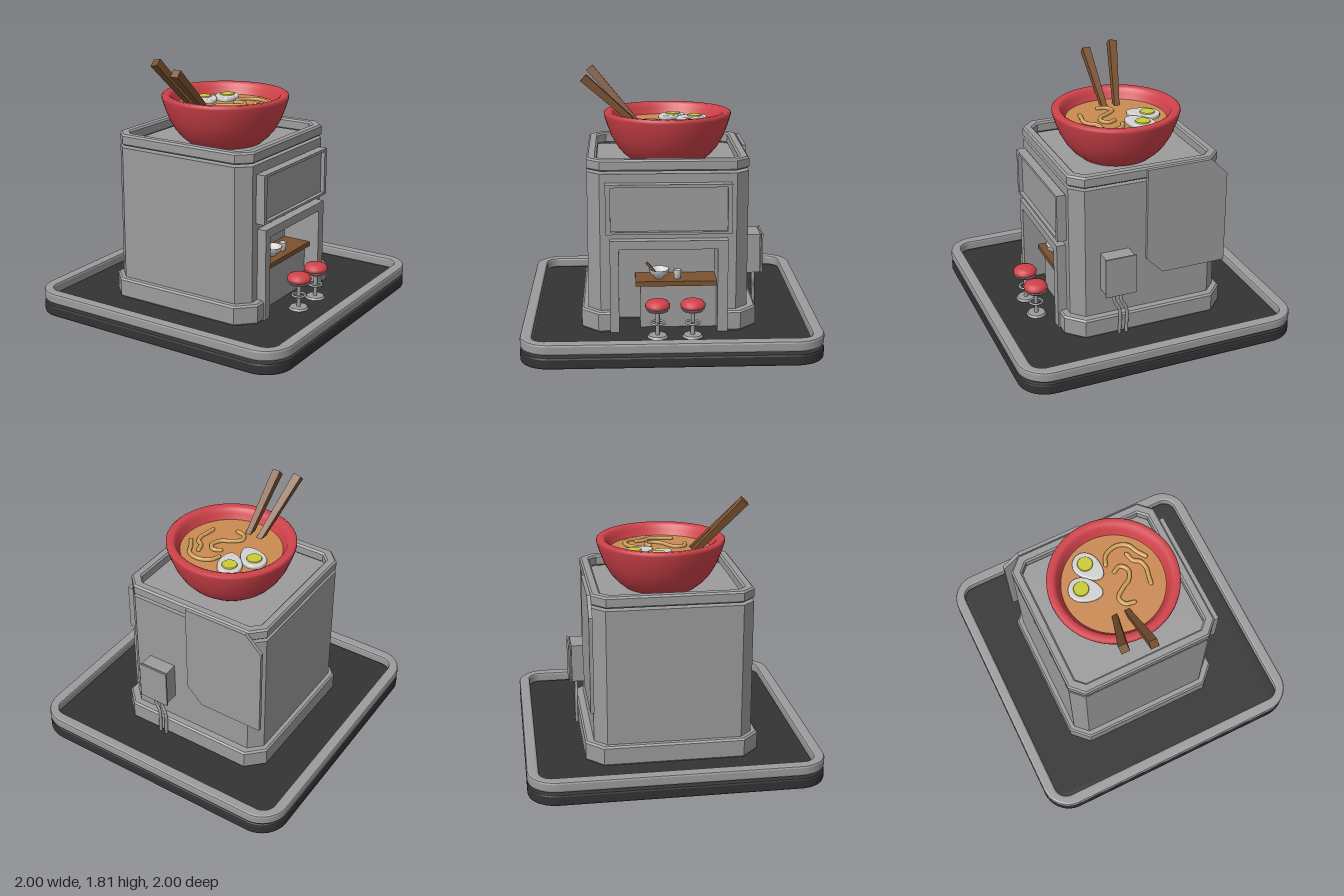
import * as THREE from 'three';

const mat = (name, color, side = THREE.FrontSide) => {
  const m = new THREE.MeshStandardMaterial({ color, side });
  m.name = name;
  return m;
};

export function createModel() {
  const grey = mat('concrete grey', 0x9c9c9c);
  const dark = mat('asphalt', 0x333333);
  const red = mat('red lacquer', 0xd0424a, THREE.DoubleSide);
  const wood = mat('wood', 0x7a5230);
  const broth = mat('broth', 0xcb8a52);
  const dough = mat('noodle', 0xd0a05c);
  const white = mat('egg white', 0xd2d2d2, THREE.DoubleSide);
  const yellow = mat('yolk', 0xcccc33);

  const root = new THREE.Group();
  root.name = 'noodleStand';
  const V = (x, y, z) => new THREE.Vector3(x, y, z);
  const add = (name, geo, m, x = 0, y = 0, z = 0, parent = root) => {
    const mesh = new THREE.Mesh(geo, m);
    mesh.name = name;
    mesh.position.set(x, y, z);
    parent.add(mesh);
    return mesh;
  };
  // Box given by its limits
  const box = (name, m, x0, x1, y0, y1, z0, z1) =>
    add(name, new THREE.BoxGeometry(x1 - x0, y1 - y0, z1 - z0), m, (x0 + x1) / 2, (y0 + y1) / 2, (z0 + z1) / 2);
  const shapeOf = (pts) => new THREE.Shape(pts.map(([x, y]) => new THREE.Vector2(x, y)));
  // Plan outline (x, -z) raised from y0 to y1 with an edge bevel
  const slab = (name, shape, y0, y1, bevel, m, segments = 1) => {
    const geo = new THREE.ExtrudeGeometry(shape, {
      depth: y1 - y0 - 2 * bevel, bevelEnabled: bevel > 0, bevelThickness: bevel,
      bevelSize: bevel, bevelOffset: -bevel, bevelSegments: segments, curveSegments: 8,
    });
    geo.rotateX(-Math.PI / 2);
    return add(name, geo, m, 0, y0 + bevel, 0);
  };
  const roundedSquare = (h, r) => {
    const s = new THREE.Shape();
    [[1, 1], [-1, 1], [-1, -1], [1, -1]].forEach(([sx, sy], i) =>
      s.absarc(sx * (h - r), sy * (h - r), r, i * Math.PI / 2, (i + 1) * Math.PI / 2, false));
    return s;
  };
  // Rectangle with cut corners, optionally notched on +x for the doorway
  const octagon = (x0, x1, z0, z1, c, notchX) => {
    const a = -z1, b = -z0;
    const pts = [[x0 + c, a], [x1 - c, a], [x1, a + c]];
    if (notchX !== undefined) pts.push([x1, -0.35], [notchX, -0.35], [notchX, 0.315], [x1, 0.315]);
    pts.push([x1, b - c], [x1 - c, b], [x0 + c, b], [x0, b - c], [x0, a + c]);
    return shapeOf(pts);
  };

  // Ground plate and raised kerb
  slab('groundPlate', roundedSquare(1, 0.2), 0, 0.082, 0.015, dark, 2);
  const kerb = roundedSquare(1, 0.2);
  kerb.holes.push(roundedSquare(0.92, 0.09));
  slab('kerb', kerb, 0.095, 0.17, 0.015, grey, 2);

  // Building with doorway recess
  slab('foundation', octagon(-0.635, 0.548, -0.588, 0.605, 0.115, 0.28), 0.082, 0.222, 0.012, grey);
  slab('lowerWalls', octagon(-0.595, 0.495, -0.53, 0.56, 0.085, 0.28), 0.1, 0.665, 0, grey);
  slab('upperWalls', octagon(-0.595, 0.495, -0.53, 0.56, 0.085), 0.665, 1.17, 0, grey);
  const parapet = octagon(-0.597, 0.5, -0.532, 0.562, 0.09);
  parapet.holes.push(octagon(-0.53, 0.433, -0.465, 0.495, 0.055));
  slab('roofParapet', parapet, 1.185, 1.265, 0.012, grey);

  // Picture-frame shaped border standing on the +x wall
  const sideFrame = (name, outer, inner, x0, x1) => {
    const s = shapeOf(outer);
    if (inner) s.holes.push(shapeOf(inner));
    const geo = new THREE.ExtrudeGeometry(s, { depth: x1 - x0, bevelEnabled: false });
    geo.rotateY(Math.PI / 2);
    return add(name, geo, grey, x0, 0, 0);
  };
  // Outline coordinates are (-z, y)
  const rect = (z0, z1, y0, y1) => [[-z1, y0], [-z0, y0], [-z0, y1], [-z1, y1]];
  box('signPanel', grey, 0.49, 0.535, 0.775, 1.105, -0.405, 0.43);
  sideFrame('signFrame', rect(-0.41, 0.437, 0.77, 1.11), rect(-0.38, 0.403, 0.787, 1.09), 0.5, 0.563);
  sideFrame('doorFrame', [[-0.41, 0.085], [-0.35, 0.085], [-0.35, 0.665], [0.315, 0.665],
    [0.315, 0.085], [0.385, 0.085], [0.385, 0.725], [-0.41, 0.725]], null, 0.49, 0.56);

  // Counter with tableware
  box('counterBase', grey, 0.28, 0.45, 0.082, 0.386, -0.315, 0.205);
  box('counterTop', wood, 0.28, 0.49, 0.386, 0.42, -0.314, 0.237);
  const dish = [[0, 0], [0.03, 0], [0.032, 0.01], [0.058, 0.03], [0.072, 0.065], [0.067, 0.065], [0.05, 0.035], [0, 0.018]];
  add('smallBowl', new THREE.LatheGeometry(dish.map(p => new THREE.Vector2(...p)), 24), white, 0.41, 0.422, 0.075);
  const cup = [[0, 0], [0.022, 0], [0.028, 0.06], [0.024, 0.06], [0.02, 0.01], [0, 0.01]];
  add('cup', new THREE.LatheGeometry(cup.map(p => new THREE.Vector2(...p)), 20), white, 0.42, 0.422, -0.05);

  // Stools
  const seat = [[0, 0], [0.075, 0], [0.084, 0.012], [0.083, 0.028], [0.07, 0.045], [0.045, 0.055], [0, 0.057]];
  for (const z of [0.093, -0.143]) {
    const stool = new THREE.Group();
    stool.name = 'stool';
    stool.position.set(0.64, 0, z);
    root.add(stool);
    add('seat', new THREE.LatheGeometry(seat.map(p => new THREE.Vector2(...p)), 24), red, 0, 0.284, 0, stool);
    add('seatPlate', new THREE.CylinderGeometry(0.08, 0.07, 0.014, 24), grey, 0, 0.273, 0, stool);
    add('post', new THREE.CylinderGeometry(0.014, 0.014, 0.19, 12), grey, 0, 0.178, 0, stool);
    const ring = new THREE.TorusGeometry(0.045, 0.008, 8, 24).rotateX(Math.PI / 2);
    add('footRing', ring, grey, 0, 0.18, 0, stool);
    add('footRingSpoke', new THREE.BoxGeometry(0.09, 0.01, 0.01), grey, 0, 0.18, 0, stool);
    add('foot', new THREE.CylinderGeometry(0.06, 0.07, 0.014, 24), grey, 0, 0.089, 0, stool);
  }

  // Rear billboard with two cut corners
  const board = shapeOf([[-0.62, 0.47], [-0.15, 0.47], [-0.03, 0.59], [-0.03, 1.257], [-0.5, 1.257], [-0.62, 1.137]]);
  add('rearBoard', new THREE.ExtrudeGeometry(board, { depth: 0.025, bevelEnabled: false }), grey, 0, 0, -0.558);

  // Meter box and conduits
  box('meterBox', grey, 0.095, 0.302, 0.418, 0.692, -0.63, -0.53);
  box('meterBoxLid', grey, 0.085, 0.31, 0.41, 0.697, -0.65, -0.638);
  box('meterBoxHinge', grey, 0.12, 0.28, 0.45, 0.66, -0.64, -0.625);
  for (const x of [0.175, 0.225]) {
    const path = new THREE.CatmullRomCurve3([V(x, 0.42, -0.595), V(x, 0.34, -0.595),
      V(x - 0.035, 0.27, -0.6), V(x - 0.035, 0.083, -0.6)]);
    add('conduit', new THREE.TubeGeometry(path, 20, 0.012, 8), grey);
  }

  // Giant bowl
  const cx = -0.03;
  const bowl = [[0, 1.14], [0.21, 1.14], [0.255, 1.17], [0.31, 1.215], [0.352, 1.265], [0.395, 1.34], [0.425, 1.42],
    [0.445, 1.485], [0.445, 1.503], [0.434, 1.512], [0.4, 1.51], [0.383, 1.5], [0.37, 1.47], [0.35, 1.425], [0.32, 1.37]];
  add('bowl', new THREE.LatheGeometry(bowl.map(p => new THREE.Vector2(...p)), 64), red, cx, 0, 0);
  add('soup', new THREE.CylinderGeometry(0.353, 0.33, 0.03, 64), broth, cx, 1.415, 0);

  // Noodles, as (x, z) paths
  const noodles = [
    [[-0.02, -0.14], [0, -0.19], [0.05, -0.225], [0.12, -0.232], [0.18, -0.2], [0.21, -0.14], [0.25, -0.08]],
    [[0.14, -0.15], [0.16, -0.09], [0.2, -0.06], [0.215, 0], [0.205, 0.05], [0.195, 0.11]],
    [[0.01, -0.07], [0.06, -0.09], [0.1, -0.045], [0.075, 0.02], [0.01, 0.06], [-0.045, 0.11], [-0.025, 0.165], [0.035, 0.182]],
  ];
  for (const pts of noodles) {
    const path = new THREE.CatmullRomCurve3(pts.map(([x, z]) => V(x, 1.437, z)));
    add('noodle', new THREE.TubeGeometry(path, 48, 0.015, 10), dough);
    for (const [x, z] of [pts[0], pts[pts.length - 1]])
      add('noodleEnd', new THREE.SphereGeometry(0.015, 10, 8), dough, x, 1.437, z);
  }

  // Egg halves: the narrow end points along the given angle
  const egg = (x, z, angle) => {
    const g = new THREE.Group();
    g.name = 'eggHalf';
    g.position.set(x, 1.43, z);
    g.rotation.y = -angle;
    root.add(g);
    const pts = [];
    for (let i = 0; i < 32; i++) {
      const t = i / 32 * Math.PI * 2;
      pts.push([0.03 + 0.118 * Math.cos(t), 0.083 * Math.sin(t) * (1 - 0.22 * Math.cos(t))]);
    }
    const geo = new THREE.ExtrudeGeometry(shapeOf(pts), { depth: 0.015, bevelThickness: 0.01,
      bevelSize: 0.01, bevelOffset: -0.01, bevelSegments: 3 }).rotateX(-Math.PI / 2);
    add('eggWhite', geo, white, 0, 0, 0, g);
    add('eggYolk', new THREE.CylinderGeometry(0.05, 0.054, 0.008, 20), yellow, 0, 0.028, 0, g);
  };
  egg(-0.145, -0.2, 1.1);
  egg(-0.245, -0.05, 0.62);

  // Tapered square sticks, thin end first
  const stick = (name, a, b, thin, thick) => {
    const s = Math.SQRT1_2;
    const geo = new THREE.CylinderGeometry(thick * s, thin * s, a.distanceTo(b), 4).toNonIndexed();
    geo.rotateY(Math.PI / 4);
    geo.computeVertexNormals();
    const mesh = add(name, geo, wood);
    mesh.position.copy(a).lerp(b, 0.5);
    mesh.quaternion.setFromUnitVectors(V(0, 1, 0), b.clone().sub(a).normalize());
  };
  stick('chopstick', V(-0.12, 1.41, 0.21), V(-0.223, 1.79, 0.545), 0.038, 0.058);
  stick('chopstick', V(-0.032, 1.41, 0.21), V(-0.033, 1.742, 0.585), 0.038, 0.058);
  stick('smallSpoon', V(0.41, 0.45, 0.09), V(0.41, 0.53, 0.16), 0.012, 0.018);

  return root;
}
